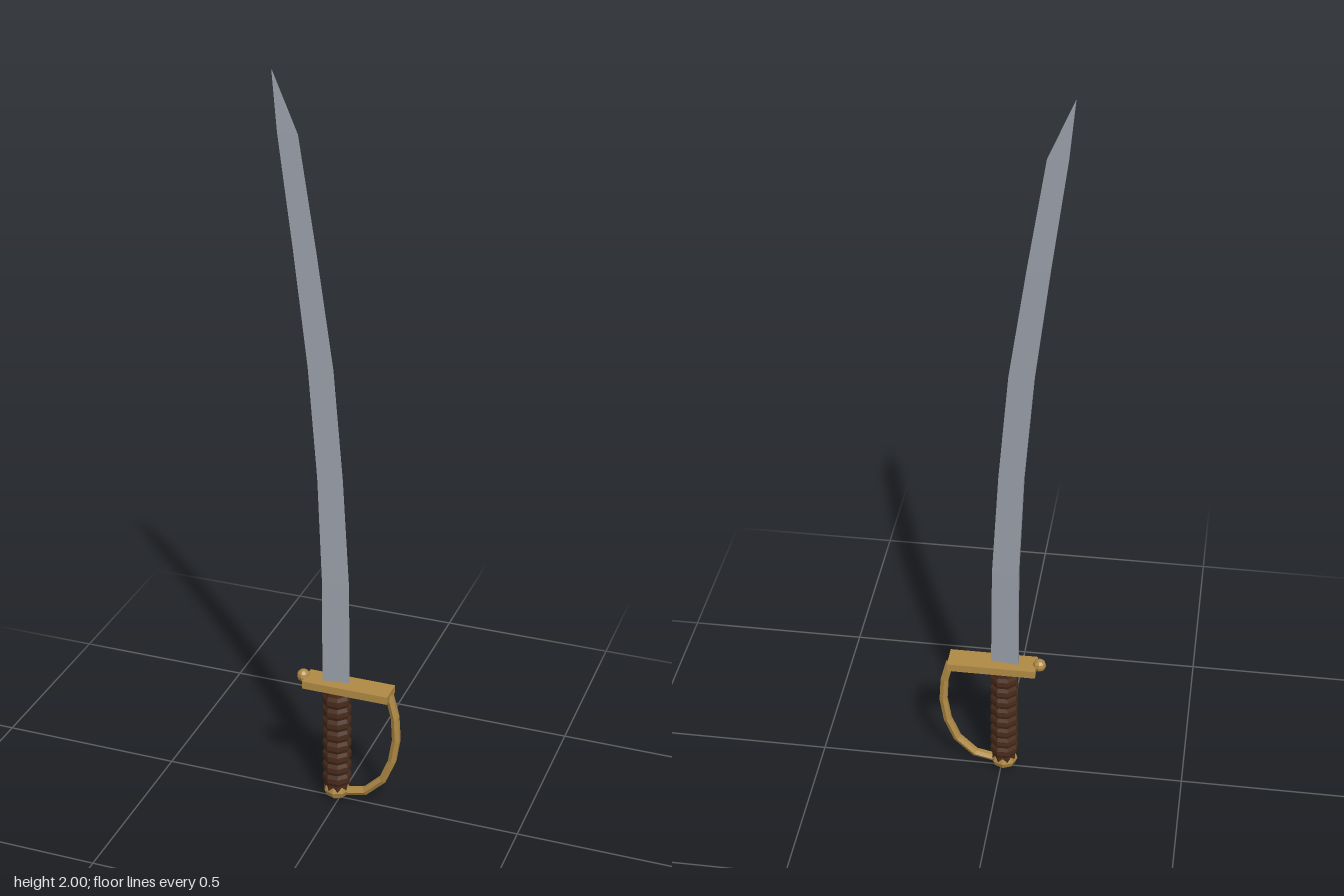
import * as THREE from 'three';

const paint = (color) => new THREE.MeshStandardMaterial({ color, flatShading: true });

// Wedge-section blade: flat spine on the left, sharp edge on the right
function bladeGeometry() {
  // height, spine x, edge x, half thickness of the spine
  const rows = [
    [0.355, -0.046, 0.028, 0.009],
    [0.66, -0.046, 0.025, 0.009],
    [0.96, -0.058, 0.008, 0.0085],
    [1.26, -0.082, -0.017, 0.0075],
    [1.56, -0.118, -0.06, 0.0065],
    [1.85, -0.156, -0.105, 0.005],
    [2.0, -0.17, -0.169, 0.001],
  ];
  const pos = [], index = [];
  rows.forEach(([y, spine, edge, t], r) => {
    pos.push(spine, y, t, edge, y, 0, spine, y, -t);
    if (r === rows.length - 1) return;
    for (let i = 0; i < 3; i++) {
      const a = r * 3 + i, b = r * 3 + (i + 1) % 3;
      index.push(a, b, b + 3, a, b + 3, a + 3);
    }
  });
  const last = (rows.length - 1) * 3;
  index.push(0, 2, 1, last, last + 1, last + 2);
  const geo = new THREE.BufferGeometry();
  geo.setAttribute('position', new THREE.Float32BufferAttribute(pos, 3));
  geo.setIndex(index);
  geo.computeVertexNormals();
  return geo;
}

// Eight-sided grip with evenly spaced wrap ridges
function gripGeometry() {
  const profile = [new THREE.Vector2(0.033, 0.03)];
  const ridges = 8, start = 0.052, pitch = 0.035;
  for (let i = 0; i < ridges; i++) {
    const y = start + i * pitch;
    profile.push(
      new THREE.Vector2(0.034, y),
      new THREE.Vector2(0.039, y + pitch * 0.3),
      new THREE.Vector2(0.039, y + pitch * 0.7),
    );
  }
  profile.push(new THREE.Vector2(0.034, start + ridges * pitch), new THREE.Vector2(0.033, 0.35));
  return new THREE.LatheGeometry(profile, 8, Math.PI / 8);
}

export function createModel() {
  const sword = new THREE.Group();
  sword.name = 'sabre';
  const steel = paint(0x9a9fa9), brass = paint(0xb08a45), leather = paint(0x4a2c1c);

  const add = (name, geo, mat, x = 0, y = 0, z = 0) => {
    const mesh = new THREE.Mesh(geo, mat);
    mesh.name = name;
    mesh.position.set(x, y, z);
    sword.add(mesh);
    return mesh;
  };

  add('blade', bladeGeometry(), steel);
  add('grip', gripGeometry(), leather, -0.008);

  // Crossguard with a ball at its free end
  add('crossguard', new THREE.BoxGeometry(0.238, 0.022, 0.066), brass, 0.024, 0.355);
  add('guardBall', new THREE.SphereGeometry(0.018, 8, 6), brass, -0.103, 0.365);

  // Flattened pommel under the grip
  add('pommel', new THREE.SphereGeometry(0.037, 8, 6), brass, -0.008, 0.03).scale.y = 0.03 / 0.037;

  // Knuckle bow from the crossguard round to the pommel
  const bow = new THREE.CatmullRomCurve3([
    [0.138, 0.357], [0.158, 0.27], [0.155, 0.18], [0.125, 0.09], [0.072, 0.037], [0.005, 0.022],
  ].map(([x, y]) => new THREE.Vector3(x, y, 0)));
  add('knuckleBow', new THREE.TubeGeometry(bow, 6, 0.012, 6), brass);

  return sword;
}
